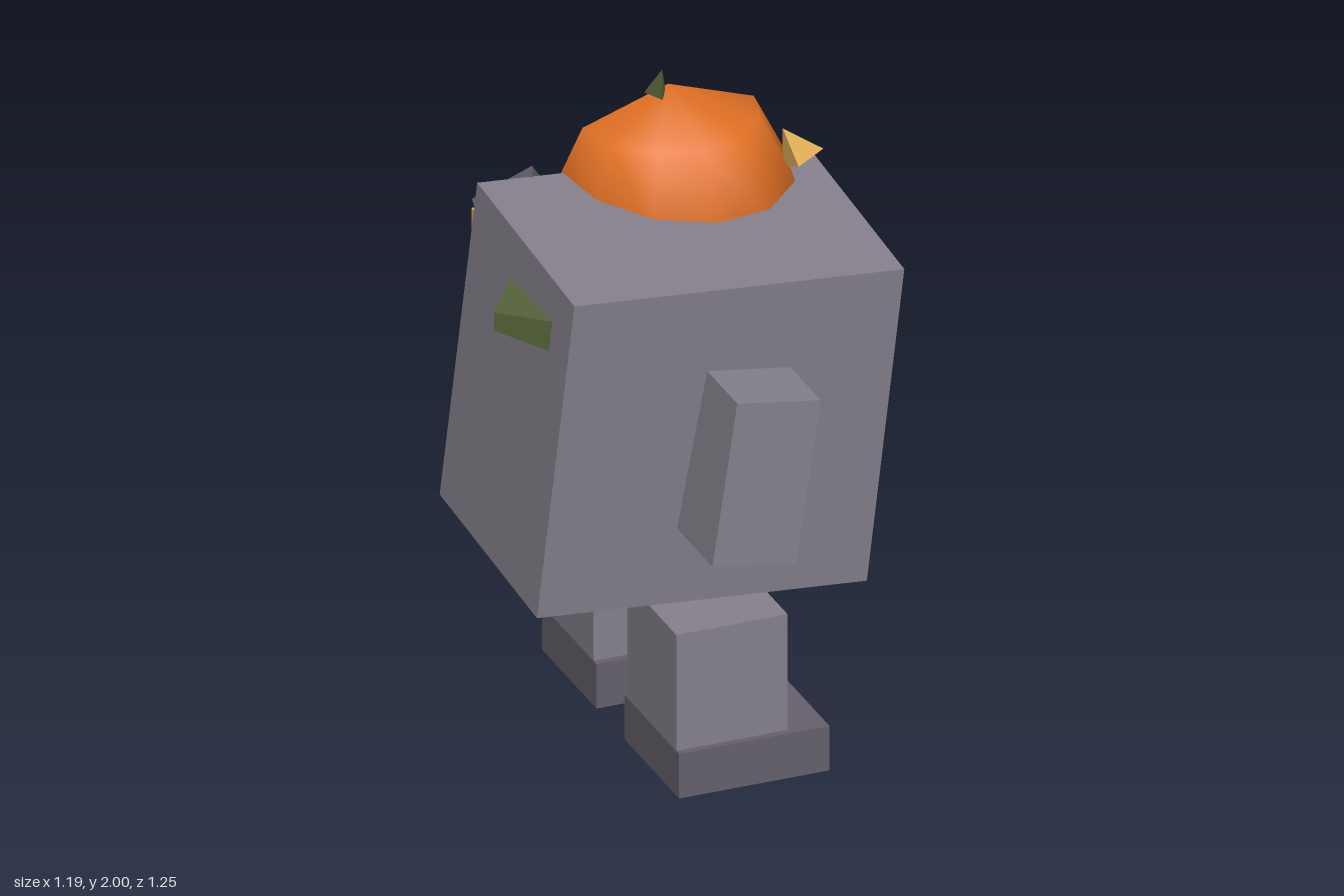
import * as THREE from 'three';
import { ConvexGeometry } from 'three/addons/geometries/ConvexGeometry.js';

export function createModel() {
  const model = new THREE.Group();
  const mat = (color, side = THREE.FrontSide, flatShading = true) =>
    new THREE.MeshStandardMaterial({ color, side, flatShading });
  const grey = mat(0x85808c);
  const darkGrey = mat(0x65606b);
  const yellow = mat(0xe0ae55);
  const green = mat(0x56633a);
  const orange = mat(0xe07024, THREE.DoubleSide, false);

  function add(name, geometry, material, x = 0, y = 0, z = 0) {
    const mesh = new THREE.Mesh(geometry, material);
    mesh.name = name;
    mesh.position.set(x, y, z);
    model.add(mesh);
    return mesh;
  }
  const box = (name, w, h, d, material, x, y, z) =>
    add(name, new THREE.BoxGeometry(w, h, d), material, x, y, z);
  // Faceted solid spanning a handful of corners
  const facet = (name, material, corners) =>
    add(name, new ConvexGeometry(corners.map((c) => new THREE.Vector3(...c))), material);

  // Leaning block body
  box('body', 1.06, 1.06, 0.75, grey, 0.02, 1.115, 0).rotation.set(0.08, 0, -0.08);

  // Upright square panel on the back
  box('backPanel', 0.95, 0.95, 0.1, yellow, 0.02, 1.12, -0.35);

  // Arms, legs and feet on both sides
  for (const [side, s] of [['front', 1], ['back', -1]]) {
    const arm = box(side + 'Arm', 0.27, 0.53, 0.3, s > 0 ? grey : darkGrey, 0.0625, 1.0625, s * 0.475);
    arm.rotation.z = -0.15;
    const z = s > 0 ? 0.278 : -0.358;
    box(side + 'Leg', 0.355, 0.385, 0.375, grey, 0.018, 0.3375, z);
    box(side + 'Foot', 0.48, 0.147, 0.42, darkGrey, 0.08, 0.0735, z);
  }

  // Half dome, open at the back
  const dome = new THREE.SphereGeometry(0.387, 6, 2, 0, Math.PI, 0, Math.PI / 2);
  add('dome', dome, orange, 0.148, 1.6, -0.338).scale.set(1, 0.82, 1.03);

  // Small three-sided stem and nose
  facet('domeStem', green, [
    [0.07, 1.905, -0.335], [0.135, 1.905, -0.328], [0.105, 1.9, -0.277], [0.105, 2, -0.28],
  ]);
  facet('domeNose', yellow, [
    [0.46, 1.7, -0.085], [0.46, 1.77, -0.208], [0.46, 1.645, -0.208], [0.573, 1.7, -0.168],
  ]);

  // Wedge on the side of the body
  facet('sideWedge', green, [-1, 1].flatMap((s) => [
    [-0.465, 1.488 + s * 0.052, -0.06],
    [-0.465, 1.488 + s * 0.052, 0.29],
    [-0.597, 1.488 + s * 0.03, 0.115],
  ]));

  // Rocky spikes on the back
  facet('upperSpike', darkGrey, [
    [-0.29, 1.735, -0.33], [-0.18, 1.58, -0.485], [-0.42, 1.58, -0.48],
    [-0.18, 1.45, -0.41], [-0.42, 1.53, -0.41], [-0.36, 1.485, -0.46], [-0.3, 1.55, -0.3],
  ]);
  facet('lowerSpike', darkGrey, [
    [0.545, 0.71, -0.47], [0.3, 0.775, -0.615], [0.335, 0.5, -0.5],
    [0.24, 0.65, -0.5], [0.44, 0.865, -0.4], [0.43, 0.575, -0.34], [0.3, 0.7, -0.35],
  ]);

  return model;
}
